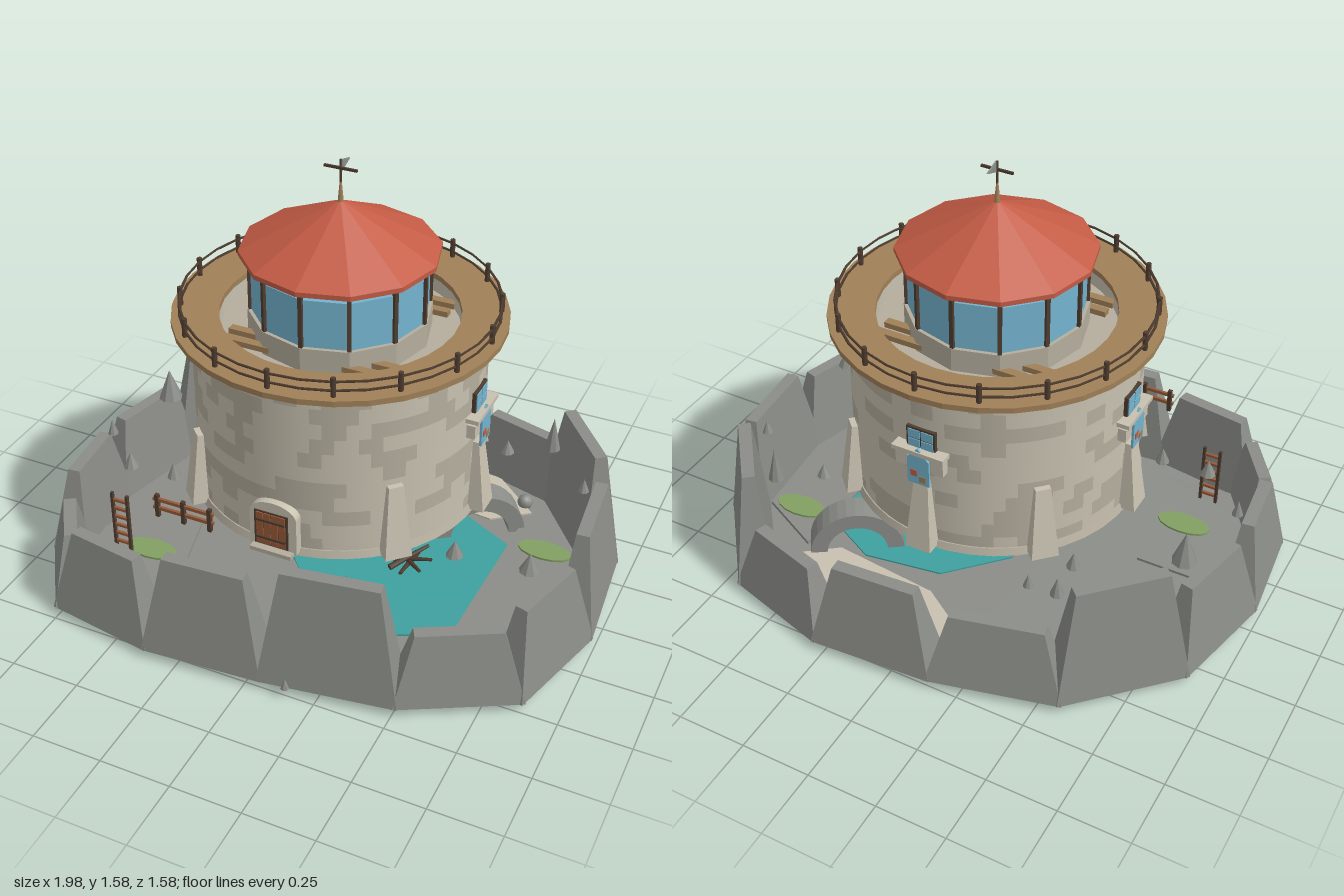
import * as THREE from 'three';
import { ConvexGeometry } from 'three/addons/geometries/ConvexGeometry.js';

const mat = (name, color, side = THREE.FrontSide) => {
  const m = new THREE.MeshStandardMaterial({ color, side });
  m.name = name;
  return m;
};

export function createModel() {
  const rock = mat('rock grey', 0x8b8d88), stone = mat('light stone', 0xc8c1b0, THREE.DoubleSide);
  const stoneDark = mat('dark stone', 0xb5ae9e, THREE.DoubleSide), wood = mat('tan wood', 0xa08058);
  const darkWood = mat('dark wood', 0x4f3d30), red = mat('roof red', 0xc45c45), glass = mat('glass blue', 0x74b4cf);
  const water = mat('water teal', 0x3fa0a0), grass = mat('grass green', 0x83a062), rust = mat('door brown', 0x965a38);
  const root = new THREE.Group();

  const add = (name, geo, m, x = 0, y = 0, z = 0, parent = root) => {
    const mesh = new THREE.Mesh(geo, m);
    mesh.name = name;
    mesh.position.set(x, y, z);
    parent.add(mesh);
    return mesh;
  };
  const group = (name, x = 0, y = 0, z = 0, ry = 0) => {
    const g = new THREE.Group();
    g.name = name;
    g.position.set(x, y, z);
    g.rotation.y = ry;
    root.add(g);
    return g;
  };
  const box = (w, h, d) => new THREE.BoxGeometry(w, h, d);
  const cyl = (rt, rb, h, n = 8) => new THREE.CylinderGeometry(rt, rb, h, n);
  const flat = geo => { const g = geo.toNonIndexed(); g.computeVertexNormals(); return g; };
  const lathe = (pts, n) => new THREE.LatheGeometry(pts.map(p => new THREE.Vector2(...p)), n);
  // flat slab from plan outline [x, z], standing on y
  const slab = (name, pts, y, h, m) => {
    const s = new THREE.Shape(pts.map(([x, z]) => new THREE.Vector2(x, -z)));
    const g = new THREE.ExtrudeGeometry(s, { depth: h, bevelEnabled: false });
    return add(name, g.rotateX(-Math.PI / 2), m, 0, y, 0);
  };

  // Island outline, one rock on each edge
  const rim = [[-0.95, 0.45], [-0.76, 0.73], [-0.37, 0.79], [0.05, 0.76], [0.51, 0.69], [0.88, 0.49], [0.99, 0.1],
    [0.95, -0.34], [0.68, -0.68], [0.29, -0.79], [-0.14, -0.76], [-0.58, -0.65], [-0.9, -0.33], [-0.99, 0.07]];
  const heights = [0.29, 0.35, 0.4, 0.46, 0.29, 0.35, 0.41, 0.46, 0.29, 0.35, 0.29, 0.46, 0.35, 0.35];
  slab('islandBase', rim.map(([x, z]) => [x * 0.94, z * 0.94]), 0.004, 0.036, rock);
  rim.forEach(([ax, az], i) => {
    const [bx, bz] = rim[(i + 1) % rim.length];
    const a = new THREE.Vector3(ax, 0, az), b = new THREE.Vector3(bx, 0, bz);
    const along = b.clone().sub(a).normalize();
    const inward = new THREE.Vector3(along.z, 0, -along.x);
    const trim = Math.min(0.065, a.distanceTo(b) * 0.2);
    const pts = [];
    for (const [y, t, offsets] of [[0.03, -0.008, [0, 0.14]], [heights[i], trim, [0.055, 0.1]]])
      for (const o of offsets) for (const [p, s] of [[a, 1], [b, -1]])
        pts.push(p.clone().addScaledVector(along, s * t).addScaledVector(inward, o).setY(y));
    add('rimRock', new ConvexGeometry(pts), rock);
  });

  // Pool, ground plates, sand and grass
  const pool = [];
  for (let i = 0; i < 9; i++) {
    const a = i / 9 * Math.PI * 2;
    pool.push([0.28 + 0.425 * Math.cos(a), 0.02 - 0.375 * Math.sin(a)]);
  }
  slab('pool', pool.reverse(), 0, 0.046, water);
  slab('rightPlate', [[0.55, 0.4], [0.86, 0.33], [0.93, -0.22], [0.57, -0.4]], 0.035, 0.02, rock);
  slab('leftPlate', [[-0.9, 0.45], [-0.75, 0.6], [-0.4, 0.57], [-0.52, 0.1], [-0.75, 0.1]], 0.035, 0.015, rock);
  slab('sand', [[-0.28, -0.62], [0.05, -0.4], [0.45, -0.36], [0.58, -0.46], [0.4, -0.62], [-0.08, -0.66]], 0.035, 0.012, stone);
  for (const [x, z] of [[-0.62, -0.4], [-0.6, 0.34], [0.4, 0.54], [0.7, -0.25], [0.2, -0.55]])
    add('grassPatch', cyl(0.1, 0.1, 0.008, 14), grass, x, 0.06, z).scale.z = 0.5;
  const drift = group('driftwood', 0.28, 0.06, 0.02);
  for (let i = 0; i < 4; i++) {
    const d = add('branch', cyl(0.006, 0.012, 0.17, 6), darkWood, 0, 0.01 * i, 0, drift);
    d.rotation.set(1.4, i * 0.85, 0, 'YXZ');
  }

  // Stone arch
  const arc = new THREE.Shape();
  arc.absarc(0, 0, 0.17, 0, Math.PI, false);
  arc.absarc(0, 0, 0.11, Math.PI, 0, true);
  const arch = new THREE.ExtrudeGeometry(arc, { depth: 0.1, bevelEnabled: false, curveSegments: 8 });
  add('stoneArch', arch.translate(0, 0, -0.05), rock, 0.42, 0.04, -0.3).rotation.y = 0.6;

  // Pointed stones
  const spikes = [[-0.79, -0.16, 0.045, 0.12], [-0.49, -0.5, 0.025, 0.07], [-0.39, -0.51, 0.018, 0.05], [0.64, -0.45, 0.03, 0.13],
    [0.79, 0.24, 0.035, 0.07], [-0.69, 0.29, 0.028, 0.06], [0.29, 0.58, 0.025, 0.06], [-0.86, 0.14, 0.02, 0.06],
    [0.82, -0.25, 0.02, 0.05], [0.54, 0.27, 0.03, 0.06], [-0.52, 0.28, 0.025, 0.06], [0.5, -0.36, 0.025, 0.05], [-0.48, -0.36, 0.025, 0.06]];
  for (const [x, z, r, h] of spikes)
    add('pointedStone', flat(new THREE.ConeGeometry(r, h, 8)), rock, x, 0.37 + h / 2, z);
  add('outerStone', flat(new THREE.ConeGeometry(0.015, 0.04, 7)), rock, 0.15, 0.06, 0.757);
  add('boulder', new THREE.IcosahedronGeometry(0.03, 1), rock, 0.54, 0.06, -0.5);

  // Tower wall: rows of blocks in two tones, alternate rows shifted by half a block
  const cols = 80, rows = 11, wall = new THREE.CylinderGeometry(0.5, 0.5, 0.62, cols, rows, true);
  const tones = [[], []];
  let seed = 7;
  const rand = () => (seed = (seed * 16807) % 2147483647) / 2147483647;
  const tone = Array.from({ length: rows * (cols / 2) }, () => (rand() < 0.42 ? 1 : 0));
  for (let q = 0; q < rows * cols; q++) {
    // indices run column by column
    const row = q % rows, col = Math.floor(q / rows);
    const block = Math.floor(((col + row % 2) % cols) / 2);
    for (let k = 0; k < 6; k++) tones[tone[row * (cols / 2) + block]].push(wall.index.getX(q * 6 + k));
  }
  tones.forEach((index, i) => {
    const g = wall.clone();
    g.clearGroups();
    g.setIndex(index);
    add(i ? 'darkWallBlocks' : 'lightWallBlocks', g, i ? stoneDark : stone, 0, 0.71, 0);
  });
  add('towerFoot', cyl(0.505, 0.515, 0.025, 40), stoneDark, 0, 0.4, 0);

  // Gallery deck with the sunken floor inside
  add('galleryDeck', flat(lathe([[0.405, 1.02], [0.565, 1.02], [0.565, 1.04], [0.405, 1.04], [0.405, 1.02]], 32)), wood);
  add('parapetInside', lathe([[0.406, 0.96], [0.406, 1.03]], 32), stone);
  add('galleryFloor', cyl(0.406, 0.406, 0.02, 32), stoneDark, 0, 0.96, 0);
  for (const z of [-0.26, -0.2, 0.2, 0.26]) add('floorPlank', box(0.62, 0.02, 0.03), wood, 0, 0.99, z);
  for (let i = 0; i < 16; i++) {
    const a = i * Math.PI / 8;
    add('railPost', cyl(0.009, 0.009, 0.075, 6), darkWood, 0.535 * Math.sin(a), 1.07, 0.535 * Math.cos(a));
  }
  for (const y of [1.06, 1.092])
    add('handRail', new THREE.TorusGeometry(0.535, 0.005, 4, 32), darkWood, 0, y, 0).rotation.x = Math.PI / 2;

  // Lantern room
  add('lanternBase', flat(cyl(0.31, 0.31, 0.085, 12)), stoneDark, 0, 1.012, 0);
  add('lanternGlass', flat(cyl(0.298, 0.298, 0.17, 12)), glass, 0, 1.14, 0);
  for (let i = 0; i < 12; i++) {
    const a = i * Math.PI / 6;
    add('lanternPost', box(0.014, 0.21, 0.014), darkWood, 0.3 * Math.sin(a), 1.155, 0.3 * Math.cos(a)).rotation.y = a;
  }

  // Roof, finial and flag
  add('roof', flat(lathe([[0, 1.255], [0.335, 1.255], [0.335, 1.272], [0, 1.44]], 12)), red);
  add('finial', cyl(0.003, 0.012, 0.09), wood, 0, 1.465, 0);
  add('flagPole', cyl(0.004, 0.004, 0.12, 6), darkWood, 0, 1.52, 0);
  add('crossBar', box(0.115, 0.008, 0.008), darkWood, 0, 1.55, 0);
  const pennant = new THREE.Shape([[0, 0], [0.06, 0.022], [0, 0.04]].map(p => new THREE.Vector2(...p)));
  add('pennant', new THREE.ExtrudeGeometry(pennant, { depth: 0.006, bevelEnabled: false }), rock, 0, 1.54, 0).rotation.y = Math.PI / 2;

  // Buttresses all round except at the door
  const hull = (w0, w1, d0, d1, h) => {
    const pts = [];
    for (const [y, w, d] of [[0, w0, d0], [h, w1, d1]])
      for (const s of [-1, 1]) for (const z of [-0.04, d]) pts.push(new THREE.Vector3(s * w, y, z));
    return new ConvexGeometry(pts);
  };
  for (let i = 1; i < 8; i++) {
    const a = i * Math.PI / 4;
    const g = group('buttress', 0.5 * Math.sin(a), 0.395, 0.5 * Math.cos(a), a);
    add('buttressStone', hull(0.047, 0.026, 0.055, 0.02, 0.265), stone, 0, 0, 0, g);
  }

  // Windows on both sides and at the back
  const peak = new THREE.Shape([[-0.04, 0], [0.04, 0], [0.04, 0.1], [0, 0.145], [-0.04, 0.1]].map(p => new THREE.Vector2(...p)));
  for (const a of [Math.PI / 2, Math.PI, -Math.PI / 2]) {
    const g = group('window', 0.5 * Math.sin(a), 0, 0.5 * Math.cos(a), a);
    add('windowFrame', box(0.105, 0.085, 0.02), darkWood, 0, 0.825, 0, g);
    for (const x of [-0.024, 0.024]) for (const y of [0.807, 0.844])
      add('windowPane', box(0.043, 0.032, 0.008), glass, x, y, 0.009, g);
    add('windowLedge', box(0.19, 0.016, 0.045), stone, 0, 0.785, 0.015, g);
    for (const x of [-0.065, 0.065]) add('ledgeBracket', box(0.045, 0.05, 0.03), stone, x, 0.74, 0.01, g);
    add('pointedPanel', new THREE.ExtrudeGeometry(peak, { depth: 0.008, bevelEnabled: false }), glass, 0, 0.66, 0.025, g);
    add('redSquare', box(0.024, 0.024, 0.008), red, -0.016, 0.703, 0.031, g);
    add('tanSquare', box(0.024, 0.024, 0.008), wood, 0.016, 0.683, 0.031, g);
  }

  // Arched doorway
  const doorArch = (w, h) => {
    const s = new THREE.Shape();
    s.moveTo(-w, 0).lineTo(w, 0).lineTo(w, h);
    s.absellipse(0, h, w, w * 0.6, 0, Math.PI, false, 0);
    return s;
  };
  const frame = new THREE.ExtrudeGeometry(doorArch(0.085, 0.135), { depth: 0.05, bevelEnabled: false });
  add('doorFrame', frame, stone, 0, 0.4, 0.475);
  add('doorSurround', box(0.122, 0.135, 0.008), darkWood, -0.005, 0.48, 0.525);
  for (let i = 0; i < 4; i++) add('doorPlank', box(0.024, 0.125, 0.008), rust, -0.005 + (i - 1.5) * 0.027, 0.48, 0.529);
  for (const y of [0.445, 0.515]) add('doorHinge', box(0.105, 0.008, 0.008), darkWood, -0.005, y, 0.533);
  add('doorStep', box(0.15, 0.015, 0.04), stoneDark, 0, 0.4, 0.53);

  // Fence and ladder
  const fence = group('fence', -0.335, 0.4, 0.53);
  for (const x of [-0.1, 0, 0.1]) add('fencePost', box(0.014, 0.09, 0.014), darkWood, x, 0.045, 0, fence);
  for (const y of [0.035, 0.07]) add('fenceRail', box(0.23, 0.012, 0.01), rust, 0, y, 0, fence);
  const ladder = group('ladder', -0.65, 0.12, 0.44);
  for (const x of [-0.03, 0.03]) add('ladderSide', box(0.01, 0.24, 0.012), darkWood, x, 0.12, 0, ladder);
  for (let i = 0; i < 6; i++) add('ladderRung', box(0.06, 0.01, 0.01), rust, 0, 0.03 + i * 0.036, 0, ladder);

  return root;
}
